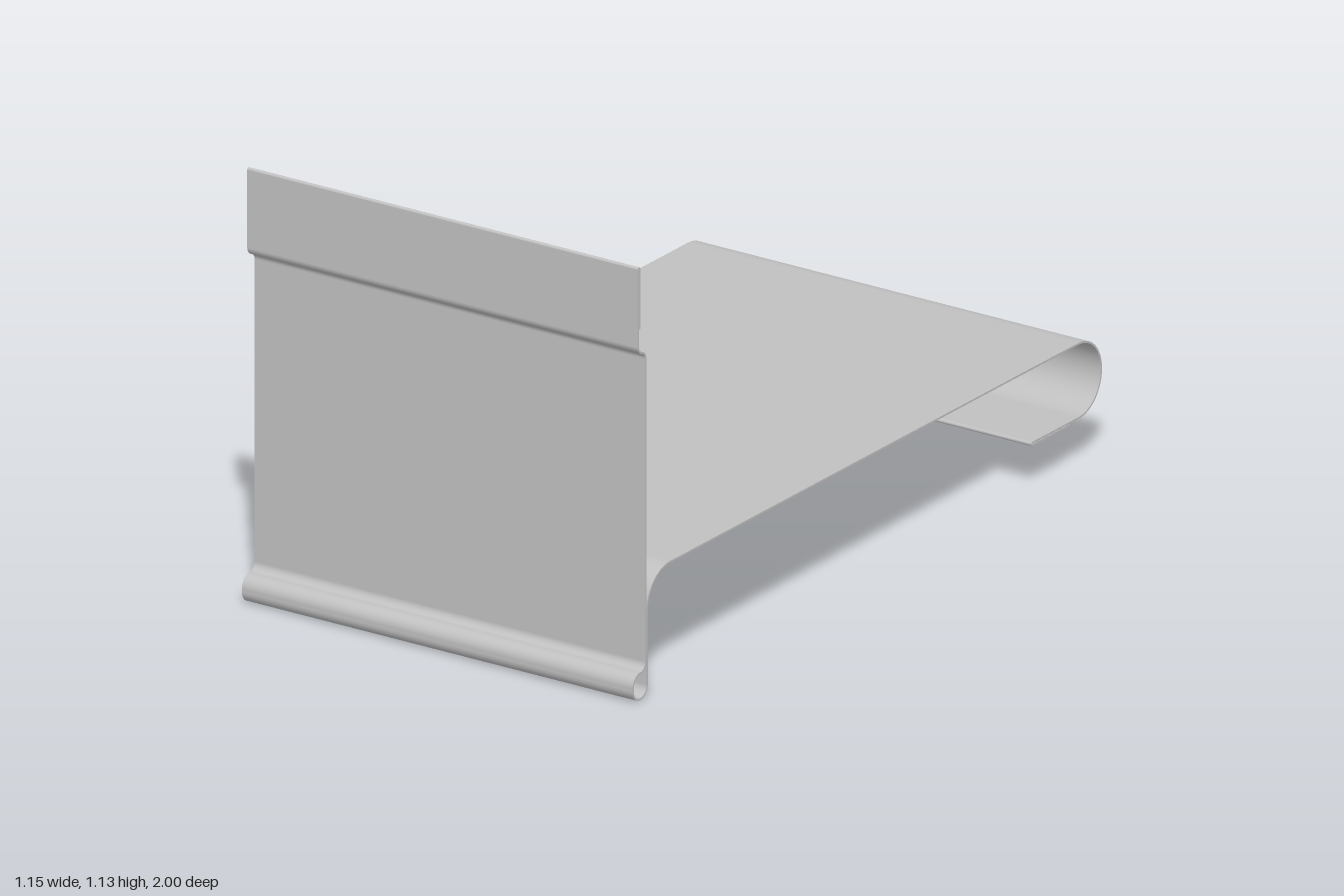
import * as THREE from 'three';

const HALF_WIDTH = 0.577;
const HALF_THICK = 0.0025;

// Bent sheet, followed as a path in the z-y plane: lines [length] and arcs [radius, turn in degrees]
const START = { z: 0.969, y: 0.97, a: Math.PI / 2 };
const PARTS = {
  topHem: [[0.157], [0.003, -180]],
  frontPanel: [[0.202], [0.02125, -75], [0.02125, 75], [0.79]],
  bottomBead: [[0.024, 90], [0.03, -90], [0.0075], [0.03, -180]],
  shelfRiser: [[0.1905], [0.097, 90]],
  shelf: [[1.741]],
  rearCurl: [[0.097, 180], [0.1975]],
  rearHem: [[0.003, -180], [0.16]],
};

// Walks one part's steps and returns its stations; the pen carries on to the next part
function trace(pen, steps) {
  const stations = [{ ...pen }];
  for (const [size, turn] of steps) {
    if (turn === undefined) {
      pen.z += Math.cos(pen.a) * size;
      pen.y += Math.sin(pen.a) * size;
      stations.push({ ...pen });
      continue;
    }
    const total = THREE.MathUtils.degToRad(turn);
    const count = Math.ceil(Math.abs(turn) / 7.5);
    const start = { ...pen };
    const side = Math.sign(turn);
    for (let i = 1; i <= count; i++) {
      pen.a = start.a + (total * i) / count;
      pen.z = start.z + side * size * (Math.sin(pen.a) - Math.sin(start.a));
      pen.y = start.y - side * size * (Math.cos(pen.a) - Math.cos(start.a));
      stations.push({ ...pen });
    }
  }
  return stations;
}

// Thick strip over the stations, smooth along the bends and sharp at the cut edges
function sheetGeometry(stations, capStart, capEnd) {
  const positions = [], normals = [];
  const point = (s, x, side) => new THREE.Vector3(
    x * HALF_WIDTH,
    s.y + side * HALF_THICK * Math.cos(s.a),
    s.z - side * HALF_THICK * Math.sin(s.a));
  const faceNormal = (s, side) => new THREE.Vector3(0, side * Math.cos(s.a), -side * Math.sin(s.a));
  const along = (s, dir) => new THREE.Vector3(0, dir * Math.sin(s.a), dir * Math.cos(s.a));

  // Adds a quad, ordered so that it faces along its normals
  function quad(p, n) {
    const facing = p[1].clone().sub(p[0]).cross(p[2].clone().sub(p[0])).dot(n[0]);
    const order = facing > 0 ? [0, 1, 2, 0, 2, 3] : [0, 2, 1, 0, 3, 2];
    for (const i of order) {
      positions.push(...p[i].toArray());
      normals.push(...n[i].toArray());
    }
  }

  for (let i = 0; i + 1 < stations.length; i++) {
    const s = stations[i], t = stations[i + 1];
    for (const k of [-1, 1]) {
      // Broad face
      const ns = faceNormal(s, k), nt = faceNormal(t, k);
      quad([point(s, -1, k), point(s, 1, k), point(t, 1, k), point(t, -1, k)], [ns, ns, nt, nt]);
      // Cut edge
      const nx = new THREE.Vector3(k, 0, 0);
      quad([point(s, k, -1), point(s, k, 1), point(t, k, 1), point(t, k, -1)], [nx, nx, nx, nx]);
    }
  }
  const cap = (s, dir) => {
    const n = along(s, dir);
    quad([point(s, -1, -1), point(s, 1, -1), point(s, 1, 1), point(s, -1, 1)], [n, n, n, n]);
  };
  if (capStart) cap(stations[0], -1);
  if (capEnd) cap(stations[stations.length - 1], 1);

  const geometry = new THREE.BufferGeometry();
  geometry.setAttribute('position', new THREE.Float32BufferAttribute(positions, 3));
  geometry.setAttribute('normal', new THREE.Float32BufferAttribute(normals, 3));
  return geometry;
}

export function createModel() {
  const group = new THREE.Group();
  group.name = 'bentSheetShelf';
  const metal = new THREE.MeshStandardMaterial({ color: 0xc0c0c0 });
  metal.name = 'lightGrey';

  const pen = { ...START };
  const names = Object.keys(PARTS);
  names.forEach((name, i) => {
    const stations = trace(pen, PARTS[name]);
    const mesh = new THREE.Mesh(sheetGeometry(stations, i === 0, i === names.length - 1), metal);
    mesh.name = name;
    group.add(mesh);
  });
  return group;
}
